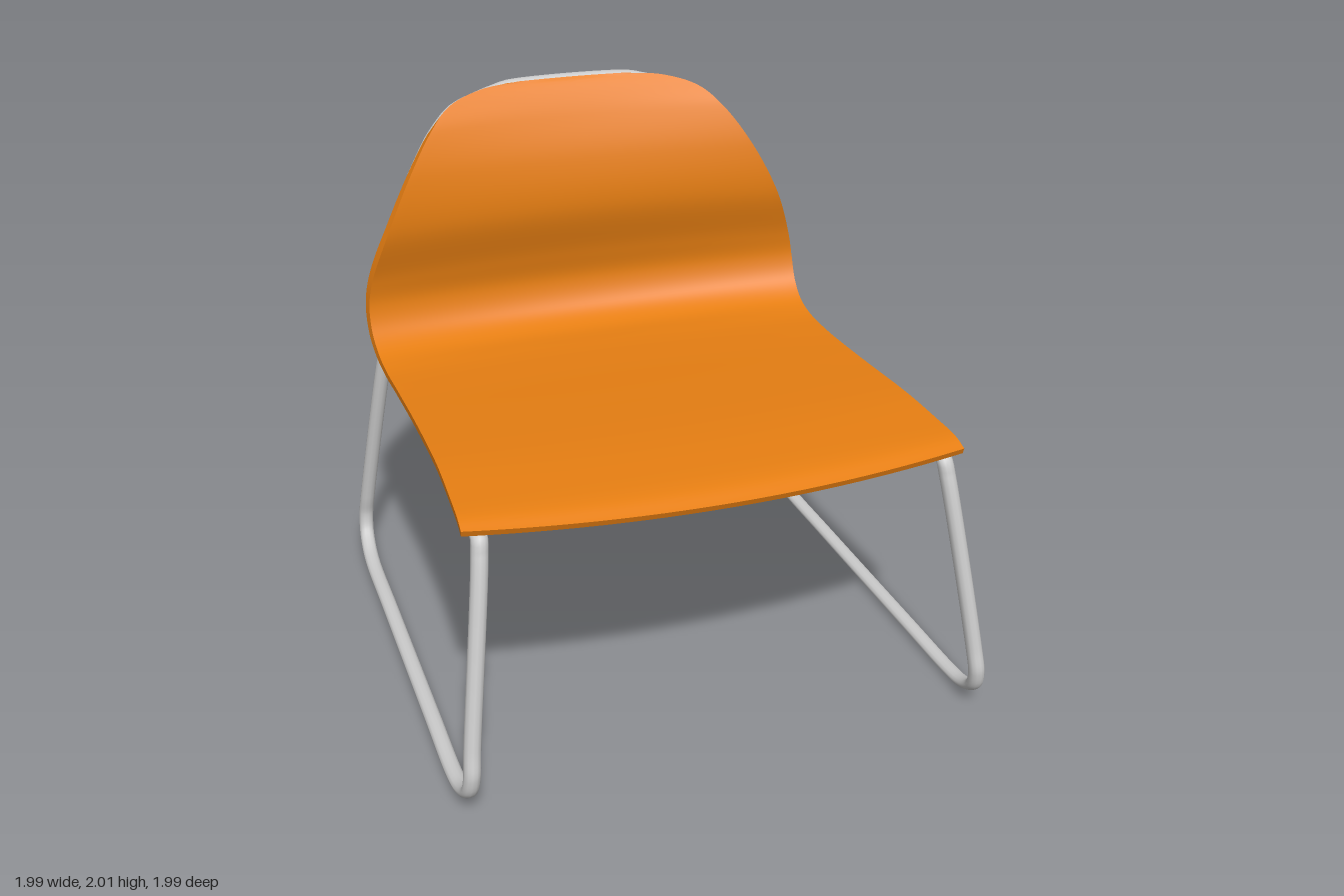
import * as THREE from 'three';
import { toCreasedNormals } from 'three/addons/utils/BufferGeometryUtils.js';

// Shell rows from front lip to top: half width, edge y, edge z, centre y, centre z
const ROWS = [
  [0.91, 1.0, 0.81, 0.985, 0.89],
  [0.908, 1.02, 0.75, 1.015, 0.81],
  [0.902, 1.032, 0.6, 1.032, 0.62],
  [0.895, 1.04, 0.4, 1.036, 0.4],
  [0.89, 1.027, 0, 1.02, 0],
  [0.893, 1.017, -0.3, 1.005, -0.3],
  [0.9, 1.022, -0.5, 1.0, -0.55],
  [0.905, 1.05, -0.61, 1.012, -0.7],
  [0.91, 1.11, -0.685, 1.065, -0.79],
  [0.908, 1.2, -0.72, 1.17, -0.83],
  [0.89, 1.3, -0.72, 1.29, -0.815],
  [0.82, 1.5, -0.69, 1.5, -0.765],
  [0.72, 1.7, -0.722, 1.7, -0.785],
  [0.61, 1.86, -0.79, 1.86, -0.84],
  [0.52, 1.94, -0.85, 1.94, -0.88],
  [0.38, 1.985, -0.895, 1.985, -0.91],
  [0.22, 2.0, -0.915, 2.0, -0.925],
];
const edgeCurve = new THREE.CatmullRomCurve3(ROWS.map(r => new THREE.Vector3(r[0], r[1], r[2])));
const midCurve = new THREE.CatmullRomCurve3(ROWS.map(r => new THREE.Vector3(0, r[3], r[4])));

// Upper face of the shell: u runs -1..1 across, v runs 0..1 from lip to top
function surface(u, v) {
  const e = edgeCurve.getPoint(v), c = midCurve.getPoint(v), k = u * u;
  return new THREE.Vector3(u * e.x, c.y + (e.y - c.y) * k, c.z + (e.z - c.z) * k);
}

function normalAt(u, v) {
  const d = 0.004, v0 = Math.max(0, v - d), v1 = Math.min(1, v + d);
  const du = surface(u + d, v).sub(surface(u - d, v));
  const dv = surface(u, v1).sub(surface(u, v0));
  return du.cross(dv).normalize();
}

const thickness = v => 0.023 + 0.015 * THREE.MathUtils.smoothstep(v, 0.3, 0.65);

// Point below or behind the shell by its thickness plus a gap
function underside(u, v, gap = 0) {
  return surface(u, v).addScaledVector(normalAt(u, v), -thickness(v) - gap);
}

// Closed shell: upper grid, lower grid and a wall round the border
function shellGeometry(nu, nv) {
  const pos = [], idx = [], layer = (nu + 1) * (nv + 1);
  for (const point of [surface, underside])
    for (let j = 0; j <= nv; j++)
      for (let i = 0; i <= nu; i++) pos.push(...point(i / nu * 2 - 1, j / nv).toArray());
  const at = (i, j) => j * (nu + 1) + i;
  const quad = (a, b, c, d) => idx.push(a, b, c, a, c, d);
  for (let j = 0; j < nv; j++)
    for (let i = 0; i < nu; i++) {
      const [a, b, c, d] = [at(i, j), at(i + 1, j), at(i + 1, j + 1), at(i, j + 1)];
      quad(a, b, c, d);
      quad(d + layer, c + layer, b + layer, a + layer);
    }
  const wall = (a, b) => quad(b, a, a + layer, b + layer);
  for (let i = 0; i < nu; i++) {
    wall(at(i, 0), at(i + 1, 0));
    wall(at(i + 1, nv), at(i, nv));
  }
  for (let j = 0; j < nv; j++) {
    wall(at(nu, j), at(nu, j + 1));
    wall(at(0, j + 1), at(0, j));
  }
  const geo = new THREE.BufferGeometry();
  geo.setAttribute('position', new THREE.Float32BufferAttribute(pos, 3));
  geo.setIndex(idx);
  return toCreasedNormals(geo, 0.8);
}

// One continuous bent tube: crossbar, rear leg, runner, front leg, seat side, back rim
function frameGeometry() {
  const corner = [[0.94, 0.25, 0.948], [0.95, 0.15, 0.966], [0.957, 0.08, 0.94],
    [0.963, 0.036, 0.86], [0.967, 0.02, 0.75], [0.967, 0.019, 0.4]];
  const half = [
    [0.25, 1.003, -0.835], [0.5, 1.012, -0.827], [0.7, 1.035, -0.812], [0.79, 1.045, -0.802],
    [0.83, 1.02, -0.795], [0.85, 0.93, -0.808],
    ...corner.map(([x, y, z]) => [x, y, -z]),
    ...corner.slice().reverse(),
    [0.853, 0.9, 0.808], [0.847, 0.96, 0.78],
  ].map(p => new THREE.Vector3(...p));
  for (let i = 0; i <= 44; i++) half.push(underside(0.945, 0.1 + 0.885 * i / 44, 0.014));
  const mirrored = half.slice().reverse().map(p => new THREE.Vector3(-p.x, p.y, p.z));

  // The tube is flattened in height
  const flat = 0.62;
  const path = new THREE.CatmullRomCurve3([...half, ...mirrored], true);
  path.points.forEach(p => { p.y /= flat; });
  path.arcLengthDivisions = 3000;
  const geo = new THREE.TubeGeometry(path, 640, 0.03, 12, true);
  geo.scale(1, flat, 1);
  return geo;
}

export function createModel() {
  const model = new THREE.Group();
  model.name = 'loungeChair';

  const shell = new THREE.Mesh(shellGeometry(40, 128),
    new THREE.MeshStandardMaterial({ color: 0xe67e12 }));
  shell.name = 'seatShell';

  const frame = new THREE.Mesh(frameGeometry(),
    new THREE.MeshStandardMaterial({ color: 0xcccccc }));
  frame.name = 'tubeFrame';

  model.add(shell, frame);
  return model;
}
